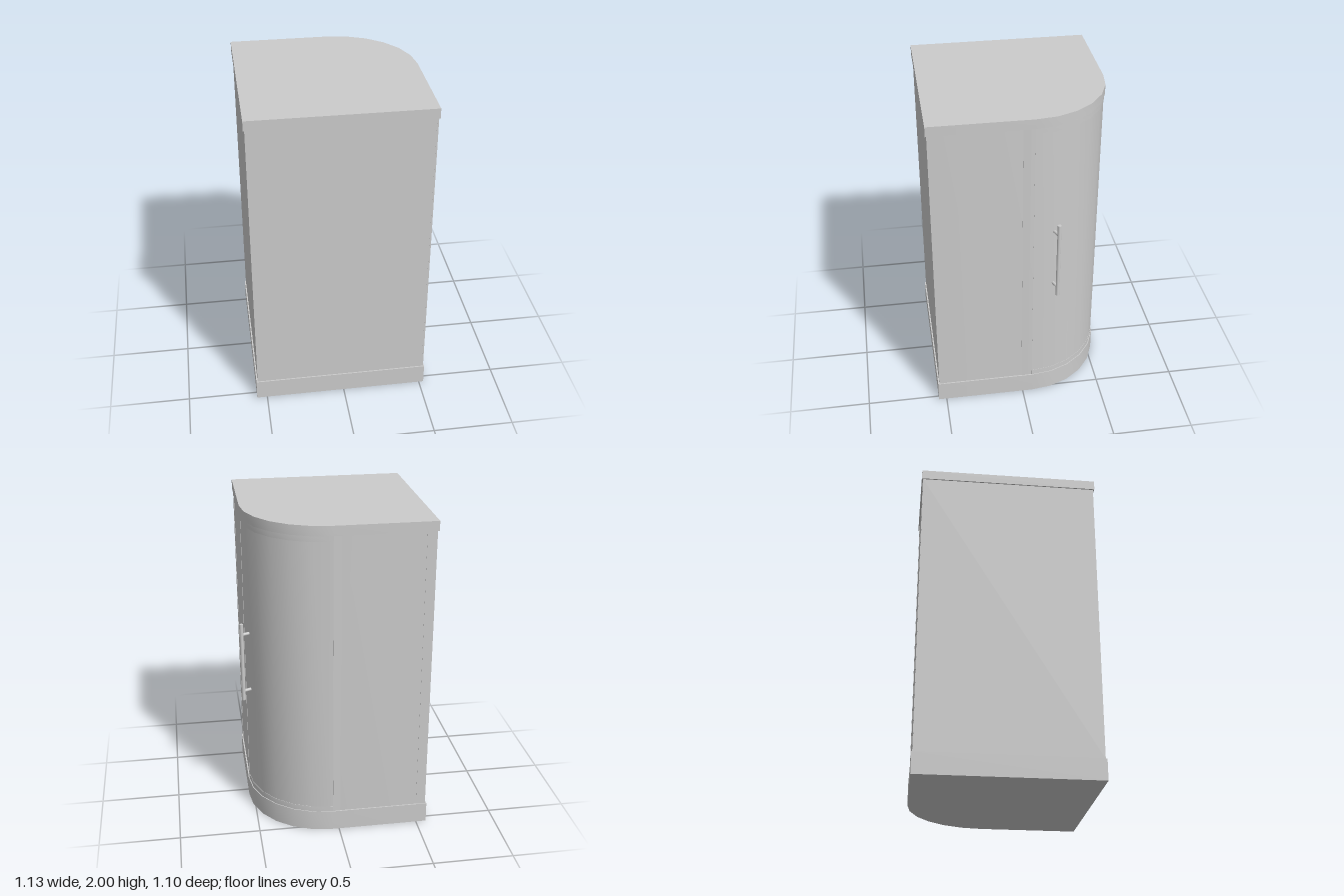
import * as THREE from 'three';
import { toCreasedNormals } from 'three/addons/utils/BufferGeometryUtils.js';

const L = -0.565, R = 0.53, BACK = 0.55, RAD = 0.49; // plan: shape y is -z
const CX = R - RAD, CY = BACK - RAD;
const TRAY = 0.13, LID = 1.94;

const material = new THREE.MeshStandardMaterial({ color: 0xcccccc });

// Points of the rounded corner at a given inset from the outer outline
function arc(inset) {
  return Array.from({ length: 7 }, (_, i) => {
    const a = (i / 6) * Math.PI / 2;
    const r = RAD - inset;
    return new THREE.Vector2(CX + r * Math.cos(a), CY + r * Math.sin(a));
  });
}

// Whole plan: a square with one rounded corner
function outline(inset) {
  return [
    new THREE.Vector2(L + inset, -BACK + inset),
    new THREE.Vector2(R - inset, -BACK + inset),
    ...arc(inset),
    new THREE.Vector2(L + inset, BACK - inset),
  ];
}

export function createModel() {
  const group = new THREE.Group();
  group.name = 'showerCabin';

  const add = (name, geometry) => {
    const mesh = new THREE.Mesh(geometry, material);
    mesh.name = name;
    group.add(mesh);
    return mesh;
  };
  // Raise a plan from y0 to y1
  const raise = (name, points, y0, y1, hole) => {
    const shape = new THREE.Shape(points);
    if (hole) shape.holes.push(new THREE.Path(hole));
    const geometry = new THREE.ExtrudeGeometry(shape, { depth: y1 - y0, bevelEnabled: false });
    geometry.rotateX(-Math.PI / 2).translate(0, y0, 0);
    return add(name, toCreasedNormals(geometry, 0.4));
  };
  // Curved strip between two insets of the corner
  const curved = (name, outer, inner, y0, y1) =>
    raise(name, [...arc(outer), ...arc(inner).reverse()], y0, y1);

  // Tray, lid and the hollow wall between them
  raise('tray', outline(0), 0, TRAY);
  raise('lid', outline(0), LID, 2);
  raise('walls', outline(0.008), TRAY, LID, outline(0.022));

  // Curved door with rails above and below
  curved('door', 0.007, 0.012, TRAY + 0.035, LID - 0.035);
  curved('bottomRail', 0.005, 0.012, TRAY, TRAY + 0.035);
  curved('topRail', 0.005, 0.012, LID - 0.035, LID);

  // Upright posts of the two fixed panels, beside the door and at the far ends
  const height = LID - TRAY, mid = (LID + TRAY) / 2;
  for (const along of [0.015, -0.52]) {
    const side = add('sidePost', new THREE.BoxGeometry(0.01, height, 0.045));
    side.position.set(R - 0.011, mid, -along);
    const back = add('backPost', new THREE.BoxGeometry(0.045, height, 0.01));
    back.position.set(along, mid, -BACK + 0.011);
  }

  // Upright bar handle on two short mounts
  const bar = add('handleBar', new THREE.CylinderGeometry(0.012, 0.012, 0.51, 16));
  bar.position.set(0.551, 1.045, -0.207);
  for (const y of [0.85, 1.23]) {
    const from = new THREE.Vector3(0.503, y, -0.187);
    const to = new THREE.Vector3(0.551, y, -0.207);
    const mount = add('handleMount', new THREE.CylinderGeometry(0.01, 0.01, from.distanceTo(to), 12));
    mount.position.lerpVectors(from, to, 0.5);
    mount.quaternion.setFromUnitVectors(new THREE.Vector3(0, 1, 0), to.clone().sub(from).normalize());
  }
  return group;
}
